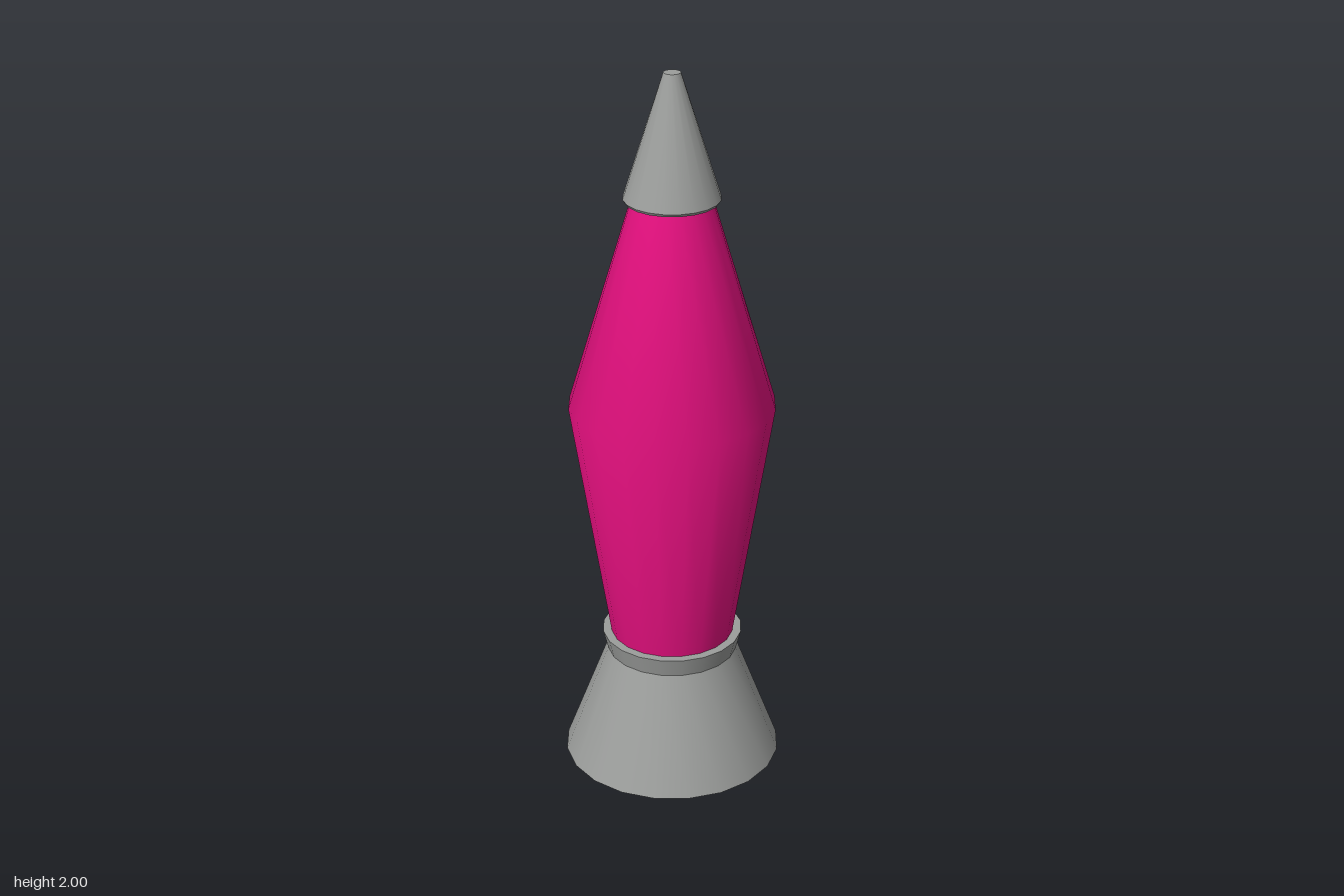
import * as THREE from 'three';

const SIDES = 20;

// Revolves a profile of [radius, height] pairs, listed from the bottom up.
function turned(name, profile, material) {
  const points = profile.map(([r, y]) => new THREE.Vector2(r, y));
  const mesh = new THREE.Mesh(new THREE.LatheGeometry(points, SIDES), material);
  mesh.name = name;
  return mesh;
}

// Turns each profile segment separately, so the edges between them stay sharp.
function turnedSharp(name, profile, material) {
  const group = new THREE.Group();
  group.name = name;
  for (let i = 0; i < profile.length - 1; i++) {
    group.add(turned(`${name}Band${i + 1}`, [profile[i], profile[i + 1]], material));
  }
  return group;
}

export function createModel() {
  const metal = new THREE.MeshStandardMaterial({ name: 'grey metal', color: 0x9c9e9c });
  const pink = new THREE.MeshStandardMaterial({ name: 'pink glass', color: 0xe5107f });

  const lamp = new THREE.Group();
  lamp.name = 'lavaLamp';

  // Flared foot with a collar that holds the glass
  lamp.add(turnedSharp('base', [
    [0, 0], [0.305, 0], [0.182, 0.325], [0.196, 0.38], [0.165, 0.38],
  ], metal));

  // Glass vessel, widest at its shoulder
  lamp.add(turned('glass', [[0.17, 0.37], [0.282, 1.075], [0.105, 1.67]], pink));

  // Pointed cap with a small bevel at its lower rim
  lamp.add(turnedSharp('cap', [
    [0.1, 1.655], [0.125, 1.655], [0.13, 1.663], [0.023, 2], [0, 2],
  ], metal));

  return lamp;
}
